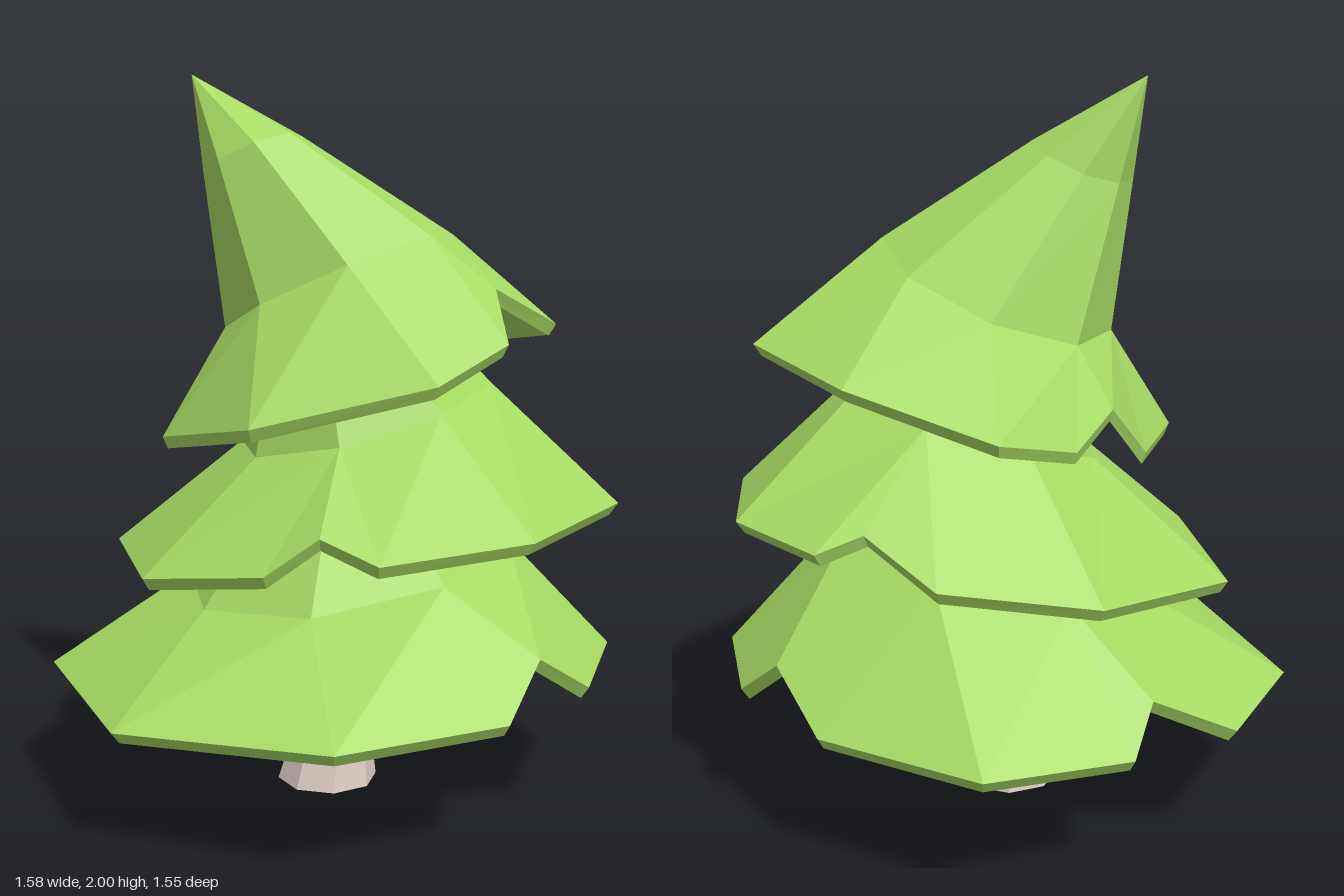
import * as THREE from 'three';

const foliage = new THREE.MeshStandardMaterial({ color: 0xa6da63 });
foliage.name = 'leaf green';
foliage.flatShading = true;
const bark = new THREE.MeshStandardMaterial({ color: 0xdacbc2 });
bark.name = 'pale bark';
bark.flatShading = true;

// Skin a stack of equal-length rings, listed from inside/bottom to outside/top.
function loft(name, material, rings) {
  const pos = [];
  const tri = (a, b, c) => {
    if (new THREE.Triangle(a, b, c).getArea() > 1e-7) pos.push(...a, ...b, ...c);
  };
  for (let r = 0; r + 1 < rings.length; r++) {
    const lo = rings[r], hi = rings[r + 1];
    for (let i = 0; i < lo.length; i++) {
      const j = (i + 1) % lo.length;
      tri(lo[i], hi[i], lo[j]);
      tri(hi[i], hi[j], lo[j]);
    }
  }
  const geometry = new THREE.BufferGeometry();
  geometry.setAttribute('position', new THREE.Float32BufferAttribute(pos, 3));
  geometry.computeVertexNormals();
  const mesh = new THREE.Mesh(geometry, material);
  mesh.name = name;
  return mesh;
}

// Point on a tilted plane [height at origin, slope in x, slope in z].
const onPlane = (x, z, [h, sx, sz], lift = 0) => new THREE.Vector3(x, h + sx * x + sz * z + lift, z);

// Corner k of a tilted regular octagon.
function corner(k, phase, { centre, radius, plane }) {
  const a = phase + (k * Math.PI) / 4;
  return onPlane(centre[0] + radius * Math.cos(a), centre[1] + radius * Math.sin(a), plane);
}

// Hollow tier: a jagged tilted rim rising to octagonal rings and a tip.
// Rim points are [x, z], with a third value lifting the notches.
function makeTier(name, { rim, plane, phase, octagons, tip, hollow }) {
  const [cx, cz] = octagons[0].centre;
  const inside = new THREE.Vector3(...hollow);
  const apex = new THREE.Vector3(...tip);
  const edge = rim.map(([x, z, lift]) => onPlane(x, z, plane, lift));
  // Each rim point joins the octagon corner nearest in direction.
  const corners = rim.map(([x, z]) => Math.round((Math.atan2(z - cz, x - cx) - phase) / (Math.PI / 4)));
  const outer = octagons.map((o) => corners.map((k) => corner(k, phase, o)));
  const inset = (ring, amount, drop) => ring.map((p) => {
    const q = p.clone().lerp(inside, amount);
    return q.setY(p.y - drop);
  });
  return loft(name, foliage, [
    rim.map(() => inside),
    inset(outer[0], 0.1, 0.04),
    inset(edge, 0.03, 0.033),
    edge,
    ...outer,
    rim.map(() => apex),
  ]);
}

// Leaning eight-sided trunk, closed at both ends: [x, y, z, radius] per ring.
function makeTrunk() {
  const sections = [
    [0, 0, -0.017, 0], [0, 0, -0.017, 0.143], [0.022, 0.2, -0.012, 0.1],
    [0.1, 0.5, 0.012, 0.095], [0.13, 1.2, 0.03, 0.07], [0.13, 1.2, 0.03, 0],
  ];
  return loft('trunk', bark, sections.map(([x, y, z, radius]) =>
    Array.from({ length: 8 }, (_, k) => corner(k, 0.45, { centre: [x, z], radius, plane: [y, 0, 0] }))));
}

export function createModel() {
  const tree = new THREE.Group();
  tree.name = 'pineTree';
  tree.add(makeTrunk());

  tree.add(makeTier('lowerBranches', {
    rim: [
      [0.785, 0.03], [0.69, 0.41], [0.37, 0.68], [0.18, 0.7, 0.12], [0.02, 0.775], [-0.44, 0.68], [-0.79, 0.2],
      [-0.66, -0.45], [-0.3, -0.73], [-0.06, -0.7, 0.11], [0.04, -0.78], [0.44, -0.74], [0.71, -0.35], [0.73, -0.11, 0.11],
    ],
    plane: [0.37, 0.025, 0.02],
    phase: 0,
    octagons: [{ centre: [0.04, 0.015], radius: 0.46, plane: [0.655, 0.2, 0.015] }],
    tip: [0.05, 1.18, 0.01],
    hollow: [0.06, 1.04, 0],
  }));

  tree.add(makeTier('middleBranches', {
    rim: [
      [0.79, 0], [0.6, 0.53, -0.05], [0.12, 0.74, -0.015], [-0.24, 0.58], [-0.33, 0.45, 0.08], [-0.44, 0.36],
      [-0.61, 0.03], [-0.42, -0.5], [0.07, -0.67], [0.46, -0.53], [0.57, -0.34, 0.08], [0.69, -0.31, 0.02],
    ],
    plane: [0.765, 0.13, 0.085],
    phase: 0,
    octagons: [
      { centre: [0.09, 0.035], radius: 0.355, plane: [1.045, 0.27, 0.1] },
      { centre: [0, 0.02], radius: 0.19, plane: [1.38, 0.2, 0.1] },
    ],
    tip: [0, 1.54, 0.02],
    hollow: [0.03, 1.4, 0.02],
  }));

  tree.add(makeTier('topBranches', {
    rim: [
      [0.67, 0.17, -0.02], [0.5, 0.37, 0.01], [0.21, 0.46, 0.17], [0.14, 0.6, 0.035], [-0.08, 0.6, -0.01], [-0.455, 0.32],
      [-0.46, -0.13, -0.01], [-0.27, -0.31, -0.05], [-0.115, -0.39, 0.08], [0.04, -0.475, -0.02], [0.28, -0.51, -0.015],
      [0.58, -0.24],
    ],
    plane: [1.155, 0.21, 0.15],
    phase: 0.52,
    octagons: [
      { centre: [0.015, 0.02], radius: 0.315, plane: [1.43, 0.25, 0.37] },
      { centre: [-0.185, -0.1], radius: 0.135, plane: [1.858, 0.2, 0.4] },
    ],
    tip: [-0.29, 2, -0.25],
    hollow: [-0.02, 1.6, -0.01],
  }));
  return tree;
}
